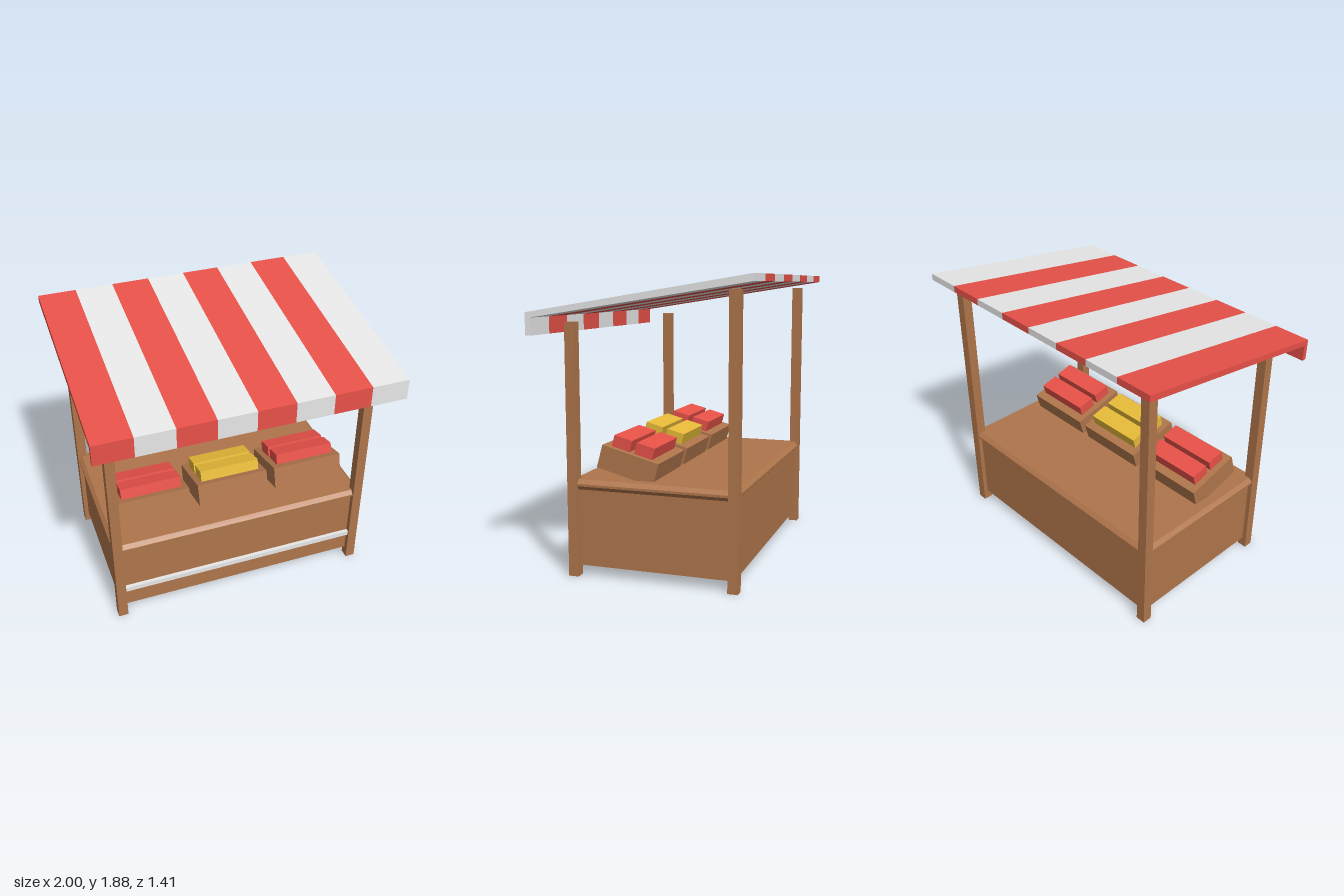
import * as THREE from 'three';

function flat(name, color) {
  const m = new THREE.MeshStandardMaterial({ color });
  m.name = name;
  return m;
}

export function createModel() {
  const stall = new THREE.Group();
  stall.name = 'marketStall';
  const wood = flat('wood', 0xaf754b);
  const red = flat('red', 0xec534a);
  const white = flat('white', 0xececec);
  const yellow = flat('yellow', 0xeabd39);

  // Box given by its [min, max] span on each axis
  function box(name, mat, [x0, x1], [y0, y1], [z0, z1], parent = stall) {
    const mesh = new THREE.Mesh(new THREE.BoxGeometry(x1 - x0, y1 - y0, z1 - z0), mat);
    mesh.position.set((x0 + x1) / 2, (y0 + y1) / 2, (z0 + z1) / 2);
    mesh.name = name;
    parent.add(mesh);
    return mesh;
  }

  // Corner posts, taller at the back
  for (const s of [-1, 1]) {
    const span = s < 0 ? [-0.895, -0.83] : [0.83, 0.895];
    box('frontPost', wood, span, [0, 1.59], [0.435, 0.5]);
    box('backPost', wood, span, [0, 1.79], [-0.6, -0.535]);
  }

  // Counter body and front rail
  const hx = 0.865, zBack = -0.57, zFront = 0.465;
  box('counterBody', wood, [-hx, hx], [0.07, 0.56], [zBack, zFront]);
  box('frontRail', white, [-0.85, 0.85], [0.21, 0.245], [zFront - 0.01, 0.49]);

  // Counter top with chamfered edges
  const rect = new THREE.Shape([
    new THREE.Vector2(-hx, -zFront), new THREE.Vector2(hx, -zFront),
    new THREE.Vector2(hx, -zBack), new THREE.Vector2(-hx, -zBack),
  ]);
  const topGeo = new THREE.ExtrudeGeometry(rect, {
    depth: 0.015, bevelThickness: 0.025, bevelSize: 0.025, bevelSegments: 1,
  });
  topGeo.rotateX(-Math.PI / 2).translate(0, 0.58, 0);
  const top = new THREE.Mesh(topGeo, wood);
  top.name = 'counterTop';
  stall.add(top);

  // Tilted crates, each holding two blocks of goods
  [[-0.555, red], [0, yellow], [0.55, red]].forEach(([x, goods]) => {
    const crate = new THREE.Group();
    crate.name = 'crate';
    crate.position.set(x, 0.71, 0.1375);
    crate.rotation.x = -Math.PI / 12;
    box('crateBox', wood, [-0.247, 0.247], [-0.0745, 0.0745], [-0.192, 0.192], crate);
    for (const z of [-0.071, 0.083]) {
      box('goods', goods, [-0.206, 0.206], [0.07, 0.148], [z - 0.061, z + 0.061], crate);
    }
    stall.add(crate);
  });

  // Striped awning: sloped roof with a hanging front edge
  const profile = new THREE.Shape([
    [0.707, 1.51], [0.707, 1.65], [-0.707, 1.877],
    [-0.707, 1.833], [0.676, 1.618], [0.676, 1.51],
  ].map(([z, y]) => new THREE.Vector2(z, y)));
  const stripeGeo = new THREE.ExtrudeGeometry(profile, { depth: 0.25, bevelEnabled: false });
  stripeGeo.rotateY(-Math.PI / 2).translate(0.25, 0, 0);
  for (let i = 0; i < 8; i++) {
    const stripe = new THREE.Mesh(stripeGeo, i % 2 ? white : red);
    stripe.position.x = -1 + i * 0.25;
    stripe.name = 'awningStripe';
    stall.add(stripe);
  }

  return stall;
}
